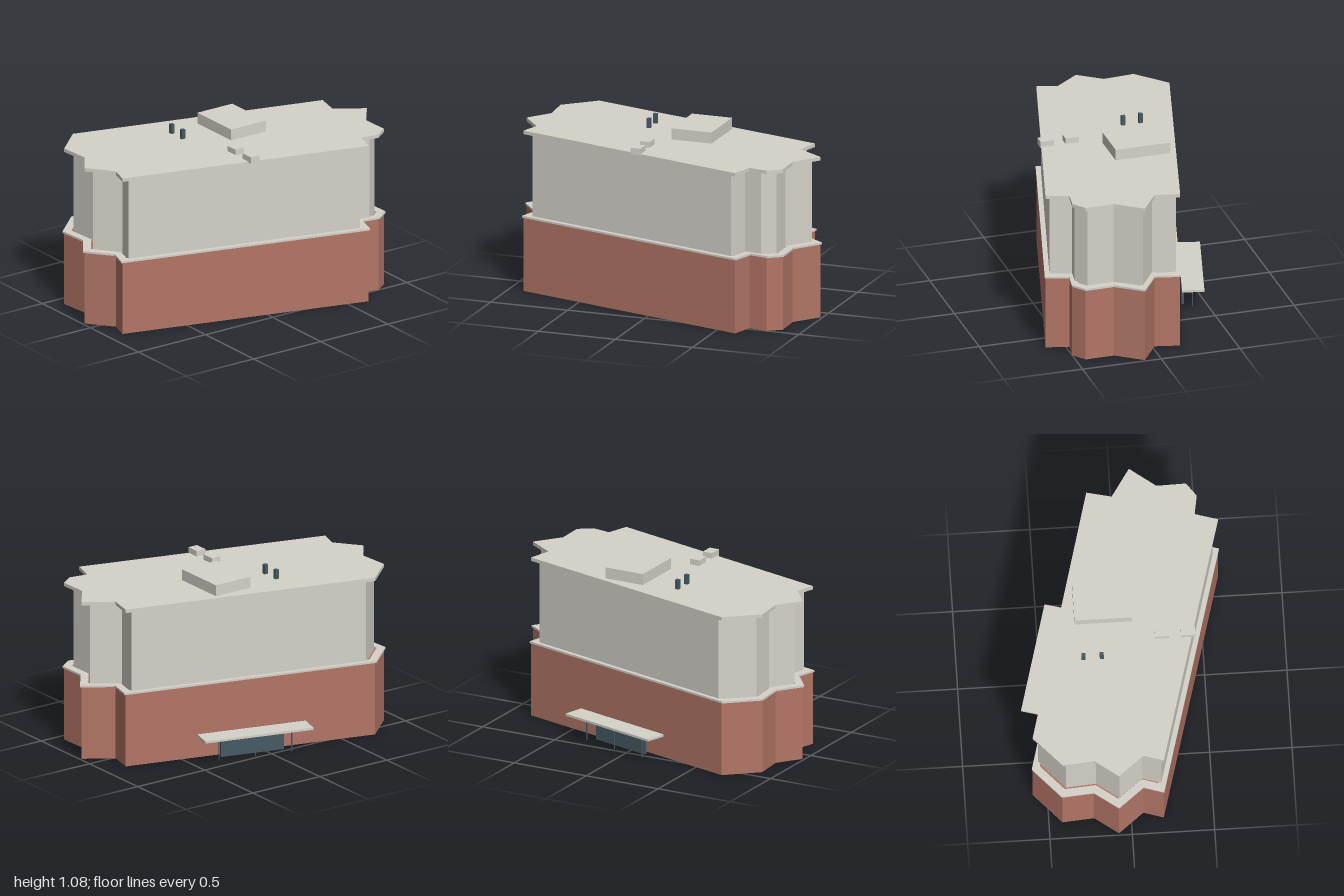
import * as THREE from 'three';

// Footprint as [x, z], from the front left corner round to the back
const FOOTPRINT = [
  [-0.588, 0.71], [-0.418, 0.897], [-0.225, 0.882], [-0.08, 0.988], [0.075, 0.865], [0.197, 0.903],
  [0.62, -0.63], [0.48, -0.672], [0.5, -0.79], [0.44, -0.872], [0.26, -0.868], [0.1, -0.988],
  [-0.015, -0.815], [-0.167, -0.85],
].map(([x, z]) => new THREE.Vector2(x, -z));

const material = (color) => new THREE.MeshStandardMaterial({ color, flatShading: true });
const brick = material(0xb27566);
const stone = material(0xd5d2c9);
const dark = material(0x465a64);

const scaled = (s) => FOOTPRINT.map((p) => p.clone().multiplyScalar(s));

// Mitred inward offset of the footprint
function inset(d) {
  const n = FOOTPRINT.length;
  const normal = (a, b) => new THREE.Vector2(a.y - b.y, b.x - a.x).normalize();
  return FOOTPRINT.map((p, i) => {
    const n1 = normal(FOOTPRINT[(i + n - 1) % n], p);
    const n2 = normal(p, FOOTPRINT[(i + 1) % n]);
    return n1.clone().add(n2).multiplyScalar(d / (1 + n1.dot(n2))).add(p);
  });
}

export function createModel() {
  const model = new THREE.Group();

  const add = (parent, name, geometry, mat) => {
    const mesh = new THREE.Mesh(geometry, mat);
    mesh.name = name;
    parent.add(mesh);
    return mesh;
  };
  // Upright prism over an outline, from y0 to y1
  const prism = (name, outline, y0, y1, mat, hole) => {
    const shape = new THREE.Shape(outline);
    if (hole) shape.holes.push(new THREE.Path(hole));
    const geometry = new THREE.ExtrudeGeometry(shape, { depth: y1 - y0, bevelEnabled: false });
    geometry.rotateX(-Math.PI / 2).translate(0, y0, 0);
    return add(model, name, geometry, mat);
  };
  // Box given by its extents
  const box = (parent, name, x0, x1, y0, y1, z0, z1, mat) => {
    const geometry = new THREE.BoxGeometry(x1 - x0, y1 - y0, z1 - z0);
    geometry.translate((x0 + x1) / 2, (y0 + y1) / 2, (z0 + z1) / 2);
    return add(parent, name, geometry, mat);
  };

  // Main volumes
  prism('brickBase', FOOTPRINT, 0, 0.464, brick);
  prism('ledge', scaled(1.01), 0.461, 0.473, stone, inset(0.04));
  prism('upperWalls', scaled(0.94), 0.464, 0.988, stone);
  prism('roofSlab', FOOTPRINT, 0.988, 1.01, stone);

  // Rooftop equipment
  box(model, 'penthouse', -0.29, 0.06, 1.005, 1.08, -0.265, -0.005, stone);
  for (const x of [0.192, 0.35]) box(model, 'roofUnit', x, x + 0.086, 1.003, 1.045, 0.053, 0.117, stone);
  for (const x of [-0.248, -0.138]) box(model, 'roofVent', x - 0.012, x + 0.012, 1.005, 1.07, 0.203, 0.227, dark);

  // Entrance canopy, parallel to the long left-hand wall
  const entrance = new THREE.Group();
  entrance.name = 'entrance';
  entrance.position.set(-0.471, 0, -0.1);
  entrance.rotation.y = -0.266;
  model.add(entrance);
  box(entrance, 'canopy', -0.068, 0.068, 0.145, 0.159, -0.35, 0.35, stone);
  box(entrance, 'entranceGlass', 0.05, 0.066, 0, 0.135, -0.205, 0.205, dark);
  for (const z of [-0.235, 0, 0.235]) {
    const post = add(entrance, 'canopyPost', new THREE.CylinderGeometry(0.004, 0.004, 0.146, 8), dark);
    post.position.set(0, 0.073, z);
  }
  return model;
}
